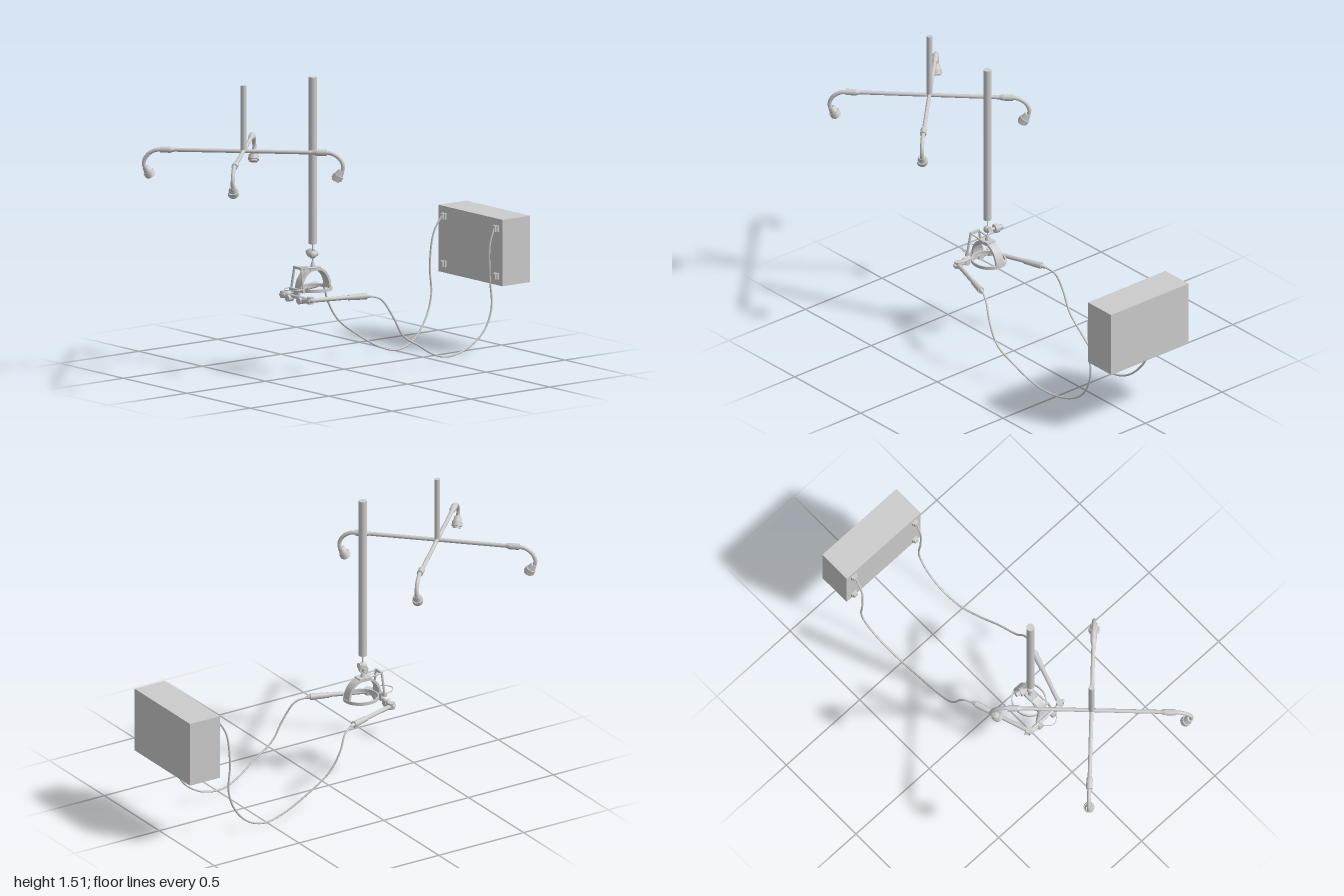
import * as THREE from 'three';

const grey = new THREE.MeshStandardMaterial({ color: 0xcccccc, side: THREE.DoubleSide });
const V = (p) => new THREE.Vector3(...p);

function add(parent, name, geometry, pos = [0, 0, 0]) {
  const mesh = new THREE.Mesh(geometry, grey);
  mesh.name = name;
  mesh.position.set(...pos);
  parent.add(mesh);
  return mesh;
}

const box = (parent, name, size, pos) => add(parent, name, new THREE.BoxGeometry(...size), pos);

// Round bar from a to b, radius ra at a and rb at b
function rod(parent, name, a, b, ra, rb = ra, sides = 16) {
  const from = V(a), dir = V(b).sub(from);
  const mesh = add(parent, name, new THREE.CylinderGeometry(rb, ra, dir.length(), sides));
  mesh.position.copy(from).addScaledVector(dir, 0.5);
  mesh.quaternion.setFromUnitVectors(new THREE.Vector3(0, 1, 0), dir.normalize());
  return mesh;
}

const tube = (parent, name, points, r, steps = 24, sides = 10) =>
  add(parent, name, new THREE.TubeGeometry(new THREE.CatmullRomCurve3(points.map(V)), steps, r, sides));

// Arm along local +x with a collar, a drooping neck and a socket turned inward
function lampArm() {
  const arm = new THREE.Group();
  arm.name = 'lampArm';
  rod(arm, 'armRod', [0, 0, 0], [0.4, 0, 0], 0.01);
  rod(arm, 'armCollar', [0.365, 0, 0], [0.415, 0, 0], 0.016);
  rod(arm, 'collarTaper', [0.345, 0, 0], [0.365, 0, 0], 0.01, 0.016);
  tube(arm, 'bentNeck', [[0.4, 0, 0], [0.44, -0.004, 0], [0.475, -0.025, 0],
    [0.495, -0.06, 0], [0.492, -0.09, 0], [0.478, -0.108, 0]], 0.01);
  rod(arm, 'socketNeck', [0.488, -0.088, 0], [0.474, -0.112, 0], 0.016, 0.022);
  rod(arm, 'socket', [0.474, -0.112, 0], [0.462, -0.132, 0], 0.027);
  rod(arm, 'socketTip', [0.462, -0.132, 0], [0.458, -0.14, 0], 0.021);
  return arm;
}

function lampStand() {
  const lamp = new THREE.Group();
  lamp.name = 'crossLamp';
  lamp.position.set(0, 1.18, 0.64);
  rod(lamp, 'lampPost', [0, 0, 0], [0, 0.33, 0], 0.0145);
  for (let i = 0; i < 4; i++) {
    const arm = lampArm();
    arm.rotation.y = Math.PI / 4 + i * Math.PI / 2;
    lamp.add(arm);
  }
  return lamp;
}

// Ring, arched strap and front frame, hung from the pole by a swivel
function headGear() {
  const head = new THREE.Group();
  head.name = 'headGear';
  rod(head, 'mainPole', [0, 0.66, 0.2], [0, 1.5, 0.2], 0.02, 0.02, 20);
  rod(head, 'hangingWire', [0, 0.535, 0.2], [0, 0.67, 0.2], 0.003);
  add(head, 'swivelBall', new THREE.SphereGeometry(0.019, 16, 12), [0, 0.605, 0.2]);
  rod(head, 'swivelClamp', [0, 0.6, 0.215], [0, 0.61, 0.175], 0.014);
  rod(head, 'swivelStem', [0, 0.605, 0.19], [-0.055, 0.605, 0.175], 0.009);
  rod(head, 'swivelKnob', [-0.028, 0.605, 0.18], [-0.05, 0.605, 0.176], 0.023, 0.023, 10);
  rod(head, 'swivelCap', [-0.05, 0.605, 0.176], [-0.073, 0.607, 0.172], 0.013);
  rod(head, 'swivelFoot', [0, 0.54, 0.2], [0, 0.572, 0.2], 0.014, 0.006);

  // Flat oval ring
  const oval = new THREE.Shape().absellipse(0, 0, 0.085, 0.092, 0, Math.PI * 2);
  oval.holes.push(new THREE.Path().absellipse(0, 0, 0.078, 0.085, 0, Math.PI * 2));
  const ring = new THREE.ExtrudeGeometry(oval, { depth: 0.016, bevelEnabled: false, curveSegments: 32 });
  add(head, 'ring', ring.rotateX(-Math.PI / 2), [0, 0.427, 0.19]);

  // Strap arching front to back over the ring
  const arch = new THREE.Shape();
  arch.absellipse(0, 0, 0.096, 0.106, 0, Math.PI, false);
  arch.absellipse(0, 0, 0.084, 0.094, Math.PI, 0, true);
  const strap = new THREE.ExtrudeGeometry(arch, { depth: 0.048, bevelEnabled: false, curveSegments: 20 });
  add(head, 'archStrap', strap.translate(0, 0, -0.024).rotateY(-Math.PI / 2), [0, 0.437, 0.198]);
  box(head, 'strapPad', [0.052, 0.018, 0.065], [0, 0.536, 0.2]);

  // Front frame: splayed legs, top plate and thin visor loop
  for (const s of [-1, 1]) {
    rod(head, 'frameLeg', [s * 0.05, 0.43, 0.298], [s * 0.027, 0.55, 0.295], 0.006, 0.006, 8);
    rod(head, 'frameRail', [s * 0.025, 0.55, 0.298], [s * 0.025, 0.541, 0.2], 0.004, 0.004, 8);
  }
  box(head, 'frameTop', [0.058, 0.012, 0.012], [0, 0.55, 0.296]);
  box(head, 'frameFoot', [0.11, 0.014, 0.012], [0, 0.437, 0.3]);
  box(head, 'frameStem', [0.04, 0.05, 0.012], [0, 0.42, 0.3]);
  tube(head, 'visorLoop', [[-0.05, 0.446, 0.3], [-0.042, 0.446, 0.34], [-0.02, 0.446, 0.364],
    [0, 0.446, 0.372], [0.02, 0.446, 0.364], [0.042, 0.446, 0.34], [0.05, 0.446, 0.3]], 0.0025);
  rod(head, 'crossBar', [-0.1, 0.405, 0.305], [0.1, 0.405, 0.305], 0.009);
  return head;
}

// Hinged handle on one side, s = 1 for the left
function handle(s) {
  const h = new THREE.Group();
  h.name = s > 0 ? 'leftHandle' : 'rightHandle';
  rod(h, 'hingeKnob', [s * 0.045, 0.393, 0.295], [s * 0.045, 0.393, 0.328], 0.017);
  rod(h, 'hingeLink', [s * 0.045, 0.393, 0.31], [s * 0.115, 0.402, 0.305], 0.011, 0.015);
  add(h, 'hingeJoint', new THREE.CylinderGeometry(0.018, 0.018, 0.034, 14), [s * 0.105, 0.402, 0.3]);
  rod(h, 'hingeTip', [s * 0.115, 0.402, 0.305], [s * 0.132, 0.402, 0.298], 0.012, 0.006);
  rod(h, 'handleRod', [s * 0.104, 0.4, 0.3], [s * 0.175, 0.404, 0.09], 0.011);
  rod(h, 'handleGrip', [s * 0.168, 0.403, 0.11], [s * 0.198, 0.404, 0.018], 0.014, 0.017);
  rod(h, 'cableBoot', [s * 0.198, 0.404, 0.018], [s * 0.206, 0.401, -0.005], 0.012, 0.006);
  return h;
}

// Wall unit with four ports
function controlBox() {
  const unit = new THREE.Group();
  unit.name = 'controlBox';
  box(unit, 'case', [0.505, 0.335, 0.175], [-0.028, 0.522, -0.9125]);
  for (const x of [-0.235, 0.18]) for (const y of [0.4, 0.64]) {
    box(unit, 'port', [0.032, 0.032, 0.01], [x, y, -0.82]);
    box(unit, 'plug', [0.022, 0.028, 0.012], [x, y, -0.811]);
  }
  return unit;
}

export function createModel() {
  const model = new THREE.Group();
  model.name = 'workstation';
  model.add(lampStand(), headGear(), handle(1), handle(-1), controlBox());

  // Slack cables from the handles to the upper ports
  tube(model, 'leftCable', [[0.2, 0.404, 0.01], [0.225, 0.385, -0.05], [0.25, 0.29, -0.11], [0.252, 0.19, -0.17],
    [0.24, 0.125, -0.28], [0.215, 0.06, -0.4], [0.192, 0.035, -0.51], [0.18, 0.06, -0.64],
    [0.18, 0.13, -0.74], [0.18, 0.24, -0.79], [0.18, 0.4, -0.78], [0.18, 0.56, -0.78], [0.18, 0.645, -0.808]], 0.005, 90, 8);
  tube(model, 'rightCable', [[-0.2, 0.404, 0.01], [-0.225, 0.38, -0.05], [-0.242, 0.3, -0.09], [-0.235, 0.2, -0.15],
    [-0.225, 0.11, -0.27], [-0.213, 0.035, -0.4], [-0.212, 0.008, -0.51], [-0.222, 0.045, -0.62],
    [-0.238, 0.14, -0.71], [-0.248, 0.25, -0.752], [-0.25, 0.4, -0.745], [-0.24, 0.56, -0.76], [-0.235, 0.645, -0.808]], 0.005, 90, 8);
  return model;
}
